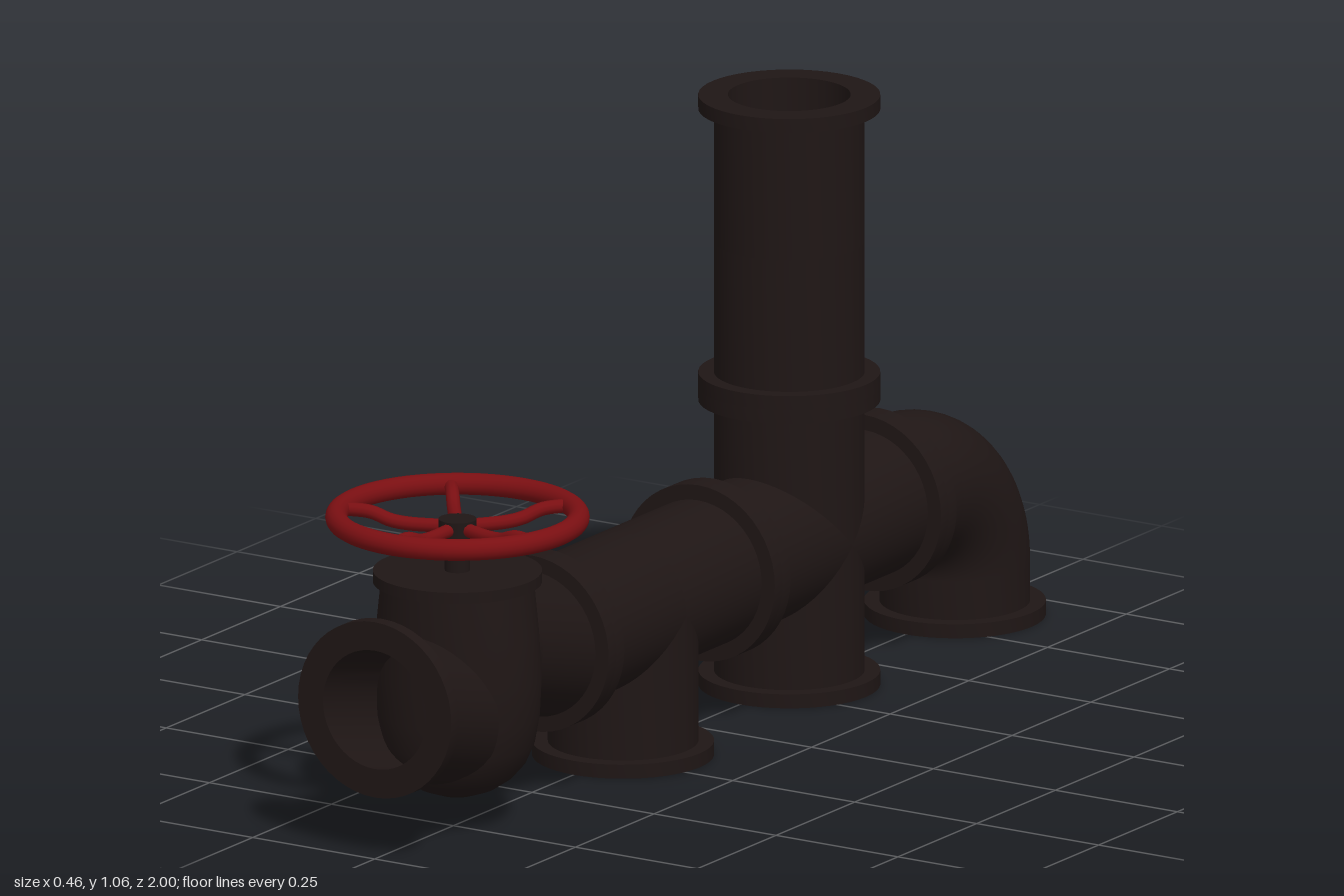
import * as THREE from 'three';
import { toCreasedNormals } from 'three/addons/utils/BufferGeometryUtils.js';

const R = 0.13, BORE = 0.106, FLANGE = 0.157, LIP = 0.025, AXIS = 0.267;
const iron = new THREE.MeshStandardMaterial({ color: 0x1f1615, side: THREE.DoubleSide });
const red = new THREE.MeshStandardMaterial({ color: 0x7a0f12 });

const UP = 0, FRONT = Math.PI / 2, DOWN = Math.PI, BACK = -Math.PI / 2;
const cross = z => Math.abs(z);

function add(parent, name, geometry, material, x = 0, y = 0, z = 0) {
  const mesh = new THREE.Mesh(geometry, material);
  mesh.name = name;
  mesh.position.set(x, y, z);
  parent.add(mesh);
  return mesh;
}

const lathe = pts => new THREE.LatheGeometry(pts.map(p => new THREE.Vector2(p[0], p[1])), 48);

// Hollow pipe arm with a flange at its far end. The open near end is
// mitred by start(lateral) and can be shifted sideways by skew.
function arm(parent, name, dir, y, z, length, start = () => 0, skew = 0) {
  const geo = lathe([
    [R, 0], [R, length - LIP], [FLANGE, length - LIP],
    [FLANGE, length], [BORE, length], [BORE, 0],
  ]);
  const p = geo.attributes.position;
  for (let i = 0; i < p.count; i++) {
    if (p.getY(i) > 1e-6) continue;
    p.setY(i, start(p.getZ(i)));
    p.setZ(i, p.getZ(i) + skew);
  }
  const mesh = add(parent, name, toCreasedNormals(geo, 0.6), iron, 0, y, z);
  mesh.rotation.x = dir;
  return mesh;
}

function group(parent, name) {
  const g = new THREE.Group();
  g.name = name;
  parent.add(g);
  return g;
}

export function createModel() {
  const model = new THREE.Group();
  model.name = 'pipework';

  // Tee with a branch facing down
  const tee = group(model, 'teeFitting');
  const teeZ = 0.211, half = 0.264;
  arm(tee, 'teeFrontArm', FRONT, AXIS, teeZ, half, z => Math.max(0, z));
  arm(tee, 'teeBackArm', BACK, AXIS, teeZ, half, z => Math.max(0, -z));
  arm(tee, 'teeBranch', DOWN, AXIS, teeZ, AXIS, cross);

  // Four-way cross
  const four = group(model, 'crossFitting');
  const crossZ = -0.317;
  [['Upper', UP], ['Front', FRONT], ['Lower', DOWN], ['Back', BACK]].forEach(([n, d]) =>
    arm(four, `cross${n}Arm`, d, AXIS, crossZ, d === UP || d === DOWN ? AXIS : half, cross));

  // Upright pipe, flanged at both ends
  const riser = group(model, 'uprightPipe');
  arm(riser, 'uprightUpperHalf', UP, 0.794, crossZ, 0.261);
  arm(riser, 'uprightLowerHalf', DOWN, 0.794, crossZ, 0.26);

  // Elbow turning down at the back
  const elbow = group(model, 'elbowFitting');
  const bend = 0.173, bendZ = -0.67, bendY = AXIS - bend;
  arm(elbow, 'elbowInlet', FRONT, AXIS, bendZ, bendZ * -1 - 0.581);
  arm(elbow, 'elbowOutlet', DOWN, bendY, bendZ - bend, bendY);
  [['elbowBend', R], ['elbowBore', BORE]].forEach(([n, r]) => {
    const t = add(elbow, n, new THREE.TorusGeometry(bend, r, 48, 20, Math.PI / 2), iron, 0, bendY, bendZ);
    t.rotation.y = Math.PI / 2;
  });

  // Globe valve: offset necks run into a bulging body
  const valve = group(model, 'valve');
  const valveZ = 0.737, inset = 0.07;
  arm(valve, 'valveFrontNeck', FRONT, AXIS, valveZ + inset, 1 - valveZ - inset, undefined, 0.05);
  arm(valve, 'valveBackNeck', BACK, AXIS, valveZ - inset, valveZ - inset - 0.475, undefined, 0.05);
  const body = lathe([
    [0, 0.053], [0.035, 0.057], [0.07, 0.07], [0.098, 0.09], [0.117, 0.115],
    [0.128, 0.15], [0.132, 0.2], [0.133, 0.27], [0.133, 0.35], [0.133, 0.44],
  ]);
  // Widen the body sideways around its middle
  const p = body.attributes.position;
  for (let i = 0; i < p.count; i++) {
    const d = (p.getY(i) - 0.26) / 0.17;
    p.setX(i, p.getX(i) * (0.92 + 0.21 * Math.exp(-d * d)));
  }
  add(valve, 'valveBody', toCreasedNormals(body, 0.9), iron, 0, 0, valveZ);
  add(valve, 'bonnetFlange', new THREE.CylinderGeometry(0.146, 0.146, 0.02, 48), iron, 0, 0.445, valveZ);
  add(valve, 'valveStem', new THREE.CylinderGeometry(0.022, 0.022, 0.09, 24), iron, 0, 0.495, valveZ);

  // Handwheel with five dished spokes
  const wheel = group(valve, 'handwheel');
  wheel.position.set(0, 0.55, valveZ);
  const rim = add(wheel, 'wheelRim', new THREE.TorusGeometry(0.209, 0.019, 16, 64), red);
  rim.rotation.x = Math.PI / 2;
  add(wheel, 'wheelHub', new THREE.CylinderGeometry(0.033, 0.033, 0.03, 24), iron, 0, -0.018, 0);
  const path = new THREE.CatmullRomCurve3(
    [[0.02, -0.018], [0.09, -0.018], [0.12, -0.014], [0.155, -0.002], [0.205, 0]]
      .map(([r, y]) => new THREE.Vector3(0, y, r)));
  const spoke = new THREE.TubeGeometry(path, 20, 0.012, 10);
  for (let i = 0; i < 5; i++) {
    add(wheel, 'wheelSpoke', spoke, red).rotation.y = i * Math.PI * 2 / 5;
  }
  return model;
}
